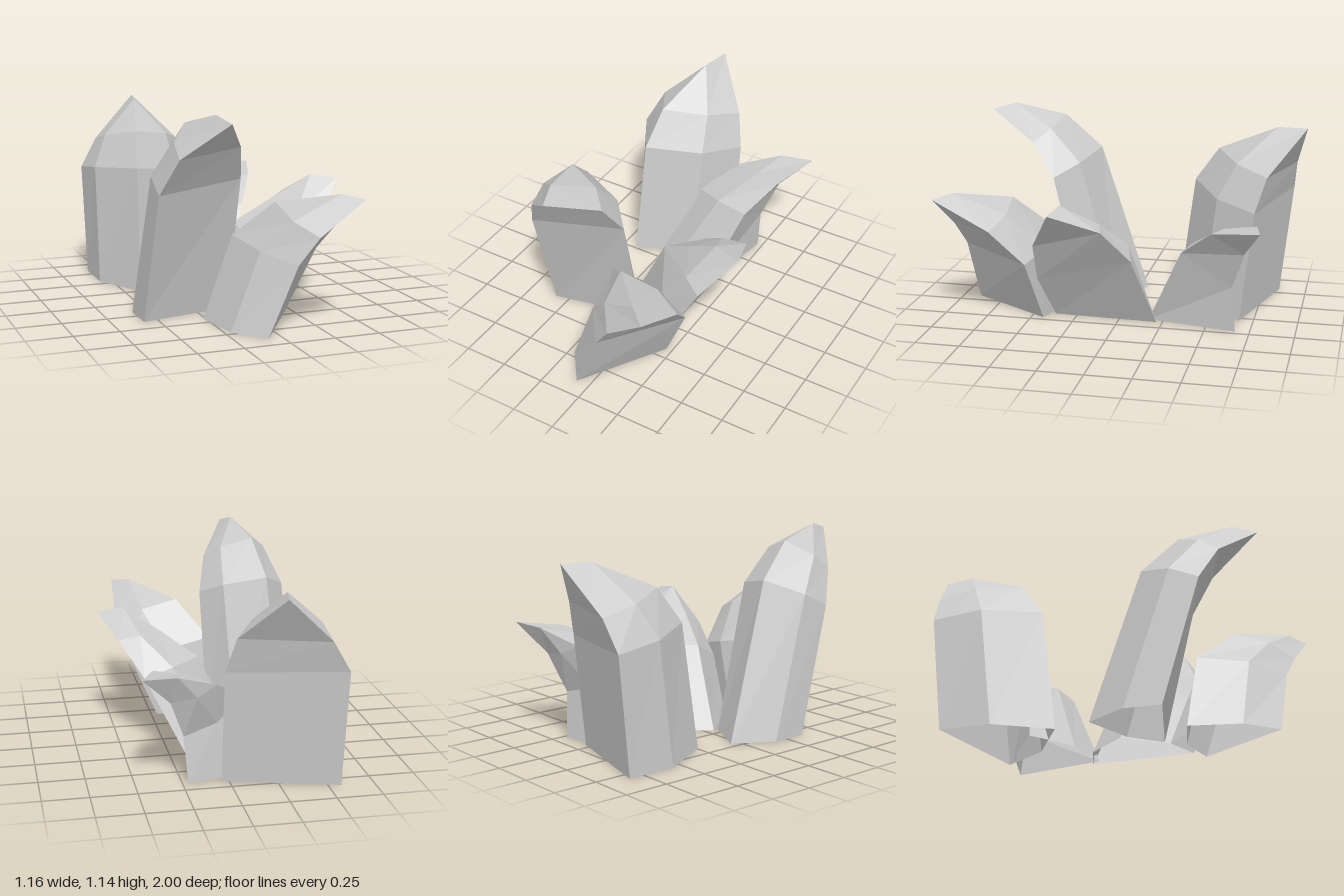
import * as THREE from 'three';

const V = (p) => new THREE.Vector3(...p);

// Each crystal is a leaning blade: a flat face between a left and a right edge,
// a ridge on the opposite side, a crest at the top and a tip above the flat face.
// Edges and ridge run from the ground up: base, shoulder, brow.
const CRYSTALS = {
  tallFrontCrystal: {
    left: [[-0.58, 0, 0.375], [-0.555, 0.715, 0.575], [-0.475, 0.91, 0.67]],
    ridge: [[-0.455, 0, -0.05], [-0.41, 0.875, 0.225], [-0.365, 1.07, 0.43]],
    right: [[-0.065, 0, 0.26], [-0.05, 0.755, 0.43], [-0.1, 0.945, 0.56]],
    crest: [-0.3, 1.14, 0.72], tip: [-0.26, 1.105, 0.85],
  },
  tallBackCrystal: {
    left: [[0.04, 0, -0.67], [0.04, 0.63, -0.74], [-0.01, 0.825, -0.8]],
    ridge: [[-0.41, 0, -0.25], [-0.39, 0.71, -0.345], [-0.355, 0.91, -0.485]],
    right: [[-0.57, 0, -0.84], [-0.58, 0.65, -0.91], [-0.48, 0.82, -0.93]],
    crest: [-0.26, 1.065, -0.83], tip: [-0.225, 1.07, -1],
  },
  shortFrontCrystal: {
    left: [[-0.08, 0, 0.9], [0.075, 0.375, 0.92], [0.175, 0.52, 0.96]],
    ridge: [[-0.265, 0, 0.43], [-0.11, 0.46, 0.46], [0.06, 0.66, 0.64]],
    right: [[0.215, 0, 0.43], [0.37, 0.355, 0.49], [0.43, 0.55, 0.675]],
    crest: [0.31, 0.73, 0.915], tip: [0.41, 0.71, 1],
  },
  shortMiddleCrystal: {
    left: [[0.14, 0, 0.375], [0.29, 0.255, 0.44], [0.41, 0.48, 0.43]],
    ridge: [[-0.2, 0, 0.05], [0.02, 0.45, 0.12], [0.22, 0.59, 0.2]],
    right: [[0.16, 0, -0.215], [0.365, 0.41, -0.11], [0.49, 0.6, 0.03]],
    crest: [0.43, 0.725, 0.27], tip: [0.58, 0.7, 0.3],
  },
  shortBackCrystal: {
    left: [[0.12, 0, -0.165], [0.27, 0.45, -0.37], [0.385, 0.6, -0.55]],
    ridge: [[-0.36, 0, -0.41], [-0.11, 0.41, -0.51], [0.07, 0.55, -0.69]],
    right: [[0.22, 0, -0.67], [0.24, 0.26, -0.65], [0.32, 0.475, -0.72]],
    crest: [0.29, 0.63, -0.785], tip: [0.48, 0.64, -0.82],
  },
};

// Five-sided ring; the two bevel corners follow from the flat edge and the ridge
function makeRing(left, ridge, right) {
  const [l, m, r] = [V(left), V(ridge), V(right)];
  const mid = l.clone().lerp(r, 0.5);
  const bulge = m.clone().sub(mid).multiplyScalar(0.52);
  const bevel = (edge) => edge.clone().lerp(mid, 0.25).add(bulge);
  return [l, bevel(l), m, bevel(r), r];
}

// Hollow shell, open at the ground
function crystalGeometry({ left, ridge, right, crest, tip }) {
  const rings = left.map((p, i) => makeRing(p, ridge[i], right[i]));
  const [t, c] = [V(tip), V(crest)];
  rings.push([t, c, c, c, t]);

  const positions = [];
  const triangle = (a, b, d) => {
    if (a === b || b === d || a === d) return;
    for (const p of [a, b, d]) positions.push(p.x, p.y, p.z);
  };
  // Walls between successive rings
  for (let i = 0; i < rings.length - 1; i++) {
    for (let j = 0; j < 5; j++) {
      const k = (j + 1) % 5;
      const [low, high] = [rings[i], rings[i + 1]];
      triangle(low[j], high[j], low[k]);
      triangle(low[k], high[j], high[k]);
    }
  }

  const geometry = new THREE.BufferGeometry();
  geometry.setAttribute('position', new THREE.Float32BufferAttribute(positions, 3));
  geometry.computeVertexNormals();
  return geometry;
}

export function createModel() {
  const group = new THREE.Group();
  group.name = 'crystalCluster';
  const material = new THREE.MeshStandardMaterial({
    color: 0xcccccc, flatShading: true, side: THREE.DoubleSide,
  });
  for (const [name, outline] of Object.entries(CRYSTALS)) {
    const mesh = new THREE.Mesh(crystalGeometry(outline), material);
    mesh.name = name;
    group.add(mesh);
  }
  return group;
}
